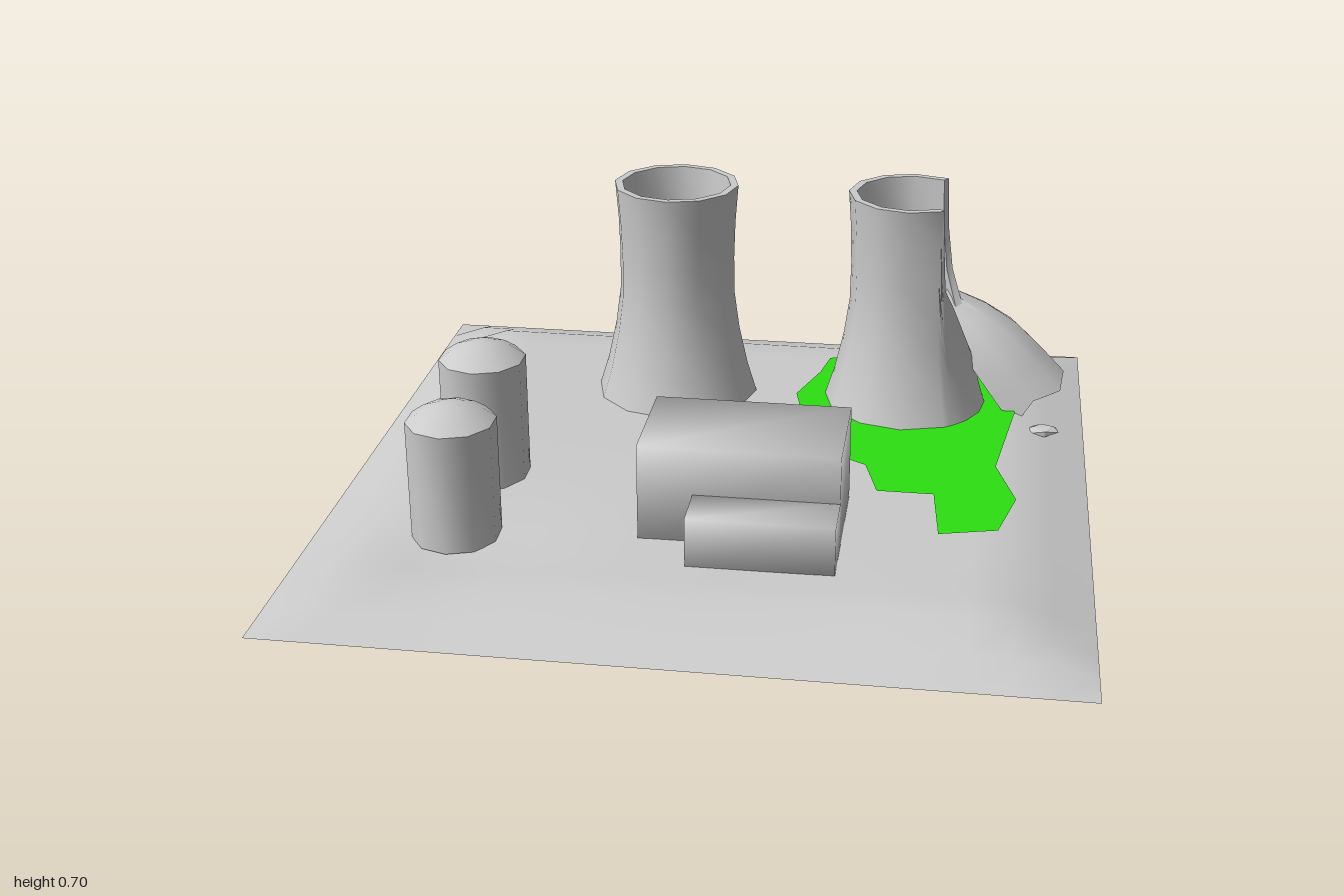
import * as THREE from 'three';
import { mergeVertices, toCreasedNormals } from 'three/addons/utils/BufferGeometryUtils.js';

const grey = new THREE.MeshStandardMaterial({ color: 0xcccccc, side: THREE.DoubleSide });
const green = new THREE.MeshStandardMaterial({ color: 0x2be010, side: THREE.DoubleSide });
const rad = THREE.MathUtils.degToRad;

function add(parent, name, geometry, material = grey) {
  const mesh = new THREE.Mesh(geometry, material);
  mesh.name = name;
  parent.add(mesh);
  return mesh;
}

// Skin a row of closed cross-section loops; ring = last joins first, else the ends are capped
function loft(sections, ring) {
  const n = sections.length, m = sections[0].length, index = [];
  const quad = (a, b, c, d) => index.push(a, b, c, a, c, d);
  for (let i = 0; i < (ring ? n : n - 1); i++) {
    for (let j = 0; j < m; j++) {
      const p = i * m, q = ((i + 1) % n) * m, k = (j + 1) % m;
      quad(p + j, p + k, q + k, q + j);
    }
  }
  if (!ring) {
    const e = (n - 1) * m;
    for (let j = 0; j < m / 2 - 1; j++) {
      quad(j, m - 1 - j, m - 2 - j, j + 1);
      quad(e + j, e + j + 1, e + m - 2 - j, e + m - 1 - j);
    }
  }
  const g = new THREE.BufferGeometry();
  g.setAttribute('position', new THREE.Float32BufferAttribute(sections.flat(2), 3));
  g.setIndex(index);
  return toCreasedNormals(g, rad(40));
}

// Cooling tower outline: radius at a given height
const OUTLINE = [[0.05, 0.24], [0.12, 0.217], [0.22, 0.19], [0.36, 0.168], [0.5, 0.166], [0.6, 0.17], [0.7, 0.178]];
function towerRadius(y) {
  for (let i = 1; i < OUTLINE.length; i++) {
    const [y0, r0] = OUTLINE[i - 1], [y1, r1] = OUTLINE[i];
    if (y <= y1) return THREE.MathUtils.mapLinear(y, y0, y1, r0, r1);
  }
  return 0.178;
}

// Columns are [angle in degrees, wall height]
function towerGeometry(columns) {
  const rows = 7;
  return loft(columns.map(([deg, top]) => {
    const outer = [], inner = [], c = Math.cos(rad(deg)), s = Math.sin(rad(deg));
    for (let j = 0; j < rows; j++) {
      const y = THREE.MathUtils.lerp(0.05, top, j / (rows - 1)), r = towerRadius(y);
      outer.push([r * c, y, r * s]);
      inner.unshift([(r - 0.022) * c, y, (r - 0.022) * s]);
    }
    return [...outer, ...inner];
  }), true);
}

// Ground height: a low plateau falling to the edges, with a shallow dip and a slight rise
function groundHeight(x, z) {
  const ramp = Math.min(1, (1 - Math.max(Math.abs(x), Math.abs(z))) / 0.2);
  const bump = (cx, cz, w) => Math.exp(-((x - cx) ** 2 + (z - cz) ** 2) / (w * w));
  return Math.max(0, ramp) * (0.07 - 0.03 * bump(-0.62, 0.62, 0.28) + 0.01 * bump(0.62, 0.78, 0.22));
}

function groundGeometry() {
  const g = new THREE.PlaneGeometry(2, 2, 20, 20).rotateX(-Math.PI / 2), p = g.attributes.position;
  for (let i = 0; i < p.count; i++) p.setY(i, groundHeight(p.getX(i), p.getZ(i)));
  g.computeVertexNormals();
  return g;
}

// Box given by its limits, with softly blended corner normals
function softBox(x0, x1, y0, y1, z0, z1) {
  let g = new THREE.BoxGeometry(x1 - x0, y1 - y0, z1 - z0);
  g.translate((x0 + x1) / 2, (y0 + y1) / 2, (z0 + z1) / 2);
  g.deleteAttribute('normal');
  g.deleteAttribute('uv');
  g = mergeVertices(g);
  g.computeVertexNormals();
  return g;
}

// Broken shell section, widening towards its lower end
function fragmentGeometry() {
  const start = new THREE.Vector3(0.56, 0.345, -0.575), end = new THREE.Vector3(0.81, 0.04, -0.545);
  const axis = end.clone().sub(start).normalize();
  const side = new THREE.Vector3(0, 0, -1).cross(axis).cross(axis).negate().normalize();
  if (side.z > 0) side.negate();
  const out = side.clone().cross(axis).negate();
  if (out.y < 0) out.negate();
  side.copy(out).cross(axis);
  const radii = [0.05, 0.105, 0.14, 0.155, 0.165];
  const jag = [0.02, -0.02, 0.03, 0, -0.03, 0.02, -0.01];
  const sections = jag.map((shift, i) => {
    const a = rad(-95 + i * 190 / (jag.length - 1)), outer = [], inner = [];
    const dir = out.clone().multiplyScalar(Math.cos(a)).addScaledVector(side, Math.sin(a));
    radii.forEach((r, j) => {
      const t = j / (radii.length - 1);
      const base = start.clone().lerp(end, t).addScaledVector(axis, shift * (t - 0.3));
      outer.push(base.clone().addScaledVector(dir, r).toArray());
      inner.unshift(base.clone().addScaledVector(dir, r - 0.02).toArray());
    });
    return [...outer, ...inner];
  });
  return loft(sections, false);
}

const POOL = [[0.24, -0.71], [0.4, -0.755], [0.6, -0.755], [0.78, -0.69], [0.8, -0.38], [0.75, -0.02],
  [0.805, 0.17], [0.76, 0.35], [0.61, 0.39], [0.59, 0.17], [0.44, 0.17], [0.4, 0.02], [0.3, -0.04],
  [0.21, -0.22], [0.165, -0.43], [0.22, -0.6]];
const POOL_BED = [[0.3, -0.62], [0.62, -0.67], [0.7, -0.4], [0.67, 0], [0.7, 0.2], [0.66, 0.25],
  [0.65, 0.08], [0.48, 0.08], [0.45, -0.06], [0.3, -0.2], [0.26, -0.43]];
const toPoints = list => list.map(([x, z]) => new THREE.Vector2(x, -z));

export function createModel() {
  const model = new THREE.Group();
  model.name = 'damagedPowerStation';
  add(model, 'ground', groundGeometry());

  // Spill: sheet on the ground and its rim showing underneath
  const spill = new THREE.Shape(toPoints(POOL));
  add(model, 'spill', new THREE.ShapeGeometry(spill).rotateX(-Math.PI / 2), green).position.y = 0.075;
  const rim = new THREE.Shape(toPoints(POOL));
  rim.holes.push(new THREE.Path(toPoints(POOL_BED)));
  add(model, 'spillRim', new THREE.ShapeGeometry(rim).rotateX(-Math.PI / 2), green).position.y = 0.062;

  // Cooling towers: one whole, one broken open on its left side
  const whole = Array.from({ length: 12 }, (_, i) => [i * 30, 0.7]);
  add(model, 'coolingTower', towerGeometry(whole)).position.set(-0.19, 0, -0.45);
  const broken = [[0, 0.22], [20, 0.3], [38, 0.4], [50, 0.46], [54, 0.58], [58, 0.7],
    ...whole.slice(3, 10), [303, 0.7], [308, 0.56], [316, 0.44], [330, 0.37], [345, 0.28]];
  add(model, 'brokenCoolingTower', towerGeometry(broken)).position.set(0.48, 0, -0.45);

  // Fallen wall and rubble
  add(model, 'fallenWall', fragmentGeometry());
  const rubble = add(model, 'rubble', toCreasedNormals(new THREE.IcosahedronGeometry(1, 0), rad(20)));
  rubble.scale.set(0.05, 0.015, 0.033);
  rubble.position.set(0.88, 0.05, -0.325);
  rubble.rotation.y = 0.2;

  // Domed storage tanks
  for (const [z, bottom, top] of [[0.18, 0.05, 0.4], [0.5, 0.045, 0.365]]) {
    const profile = [[0.115, bottom], [0.115, top], [0.08, top + 0.025], [0.04, top + 0.04], [0, top + 0.045]];
    const g = new THREE.LatheGeometry(profile.map(([r, y]) => new THREE.Vector2(r, y)), 10);
    add(model, 'storageTank', toCreasedNormals(g, rad(45))).position.set(-0.61, 0, z);
  }

  // Reactor building and its lower annex
  add(model, 'building', softBox(-0.14, 0.37, 0.06, 0.325, 0.2, 0.505));
  add(model, 'annex', softBox(0, 0.37, 0.06, 0.2, 0.5, 0.635));
  return model;
}
